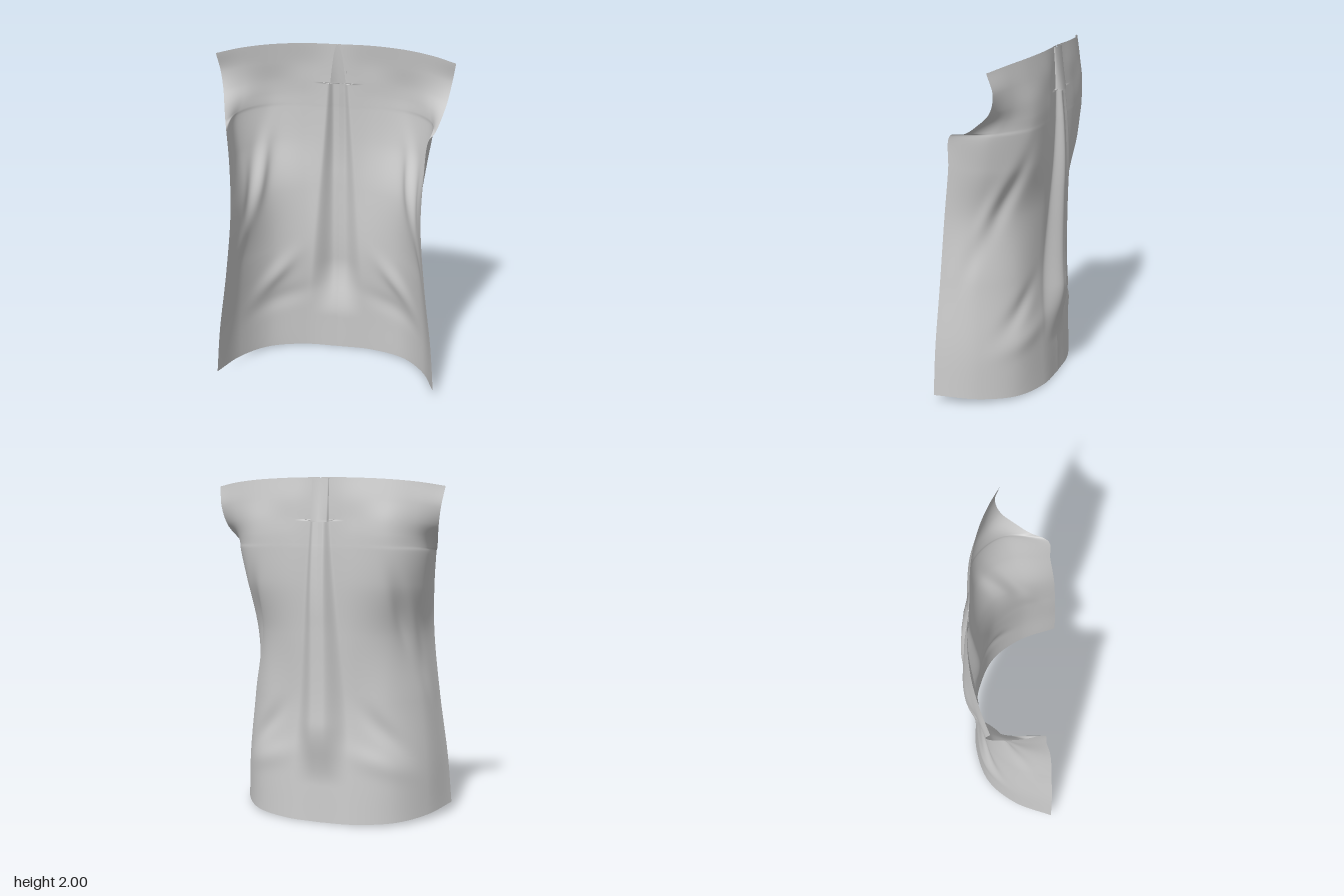
import * as THREE from 'three';

const { lerp, smoothstep } = THREE.MathUtils;
const material = new THREE.MeshStandardMaterial({ color: 0xcccccc, side: THREE.DoubleSide });

// Half cross-sections: height, centre z, then x,z of four points out to the side edge
const sections = [
  [2.0, -.212, .20, -.217, .40, -.19, .56, -.14, .69, -.083],
  [1.88, -.22, .20, -.235, .40, -.21, .55, -.16, .672, -.11],
  [1.77, -.225, .20, -.242, .40, -.228, .54, -.16, .652, -.08],
  [1.69, -.225, .21, -.247, .41, -.228, .545, -.13, .628, .0],
  [1.63, -.225, .21, -.248, .42, -.222, .56, -.09, .602, .085],
  [1.6, -.225, .21, -.248, .43, -.217, .572, -.06, .57, .188],
  [1.4, -.22, .21, -.24, .425, -.19, .545, -.02, .555, .208],
  [1.1, -.212, .20, -.207, .39, -.12, .50, .05, .55, .24],
  [.7, -.202, .20, -.187, .39, -.12, .53, .05, .585, .26],
  [.3, -.23, .21, -.213, .42, -.14, .565, .04, .635, .275],
  [0, -.24, .21, -.228, .43, -.14, .575, .04, .66, .28],
];
// The side edge runs from .05 to 1.95 while the centre runs from 0 to 2
const columns = [0, 1, 2, 3, 4].map((j) => new THREE.CatmullRomCurve3(
  sections.map((r) => new THREE.Vector3(
    j ? r[2 * j] : 0,
    lerp(r[0], .05 + .95 * r[0], (j / 4) ** 2),
    j ? r[2 * j + 1] : r[1]))));

// Depth of the centre pleat by height: fades in above the hem, shrinks to the top
const pleatDepth = (y) => .08 * smoothstep(y, .22, .6) - .015 * smoothstep(y, .6, 1.2)
  - .057 * smoothstep(y, 1.2, 2.1);

// Soft folds: position across (0..1), height, tilt, length, width, inward depth
const folds = [
  [.57, 1.24, .3, .2, .045, .022],
  [.7, 1.12, .3, .2, .04, -.014],
  [.46, .54, .7, .15, .05, .018],
  [.4, .36, 1.2, .16, .06, -.01],
  [.78, .9, .3, .17, .045, .01],
];
function foldDepth(s, y) {
  let sum = 0;
  for (const [fs, fy, tilt, length, width, depth] of folds) {
    const a = (s - fs) * .8, b = y - fy;
    const along = a * Math.sin(tilt) - b * Math.cos(tilt);
    const across = a * Math.cos(tilt) + b * Math.sin(tilt);
    sum += depth * Math.exp(-((along / length) ** 2) - (across / width) ** 2);
  }
  return sum;
}

const SLIT = 1.76;
const slitHalfWidth = (y) => .046 * Math.sqrt(Math.max(0, (2 - y) / (2 - SLIT)));

// Triangulated sheet from rows of points
function sheet(rows, flip) {
  const n = rows[0].length, index = [];
  for (let i = 0; i + 1 < rows.length; i++) {
    for (let j = 0; j + 1 < n; j++) {
      const a = i * n + j, b = a + 1, c = a + n, d = c + 1;
      index.push(...(flip ? [a, b, c, b, d, c] : [a, c, b, b, c, d]));
    }
  }
  const geometry = new THREE.BufferGeometry().setFromPoints(rows.flat());
  geometry.setIndex(index);
  geometry.computeVertexNormals();
  return geometry;
}

// One half of the garment back
function halfPanel(side) {
  const rows = [], down = 200, wide = 90;
  for (let i = 0; i <= down; i++) {
    const curve = new THREE.CatmullRomCurve3(columns.map((c) => c.getPoint(i / down)));
    const row = [];
    for (let j = 0; j <= wide; j++) {
      const s = (j / wide) ** 1.3;
      const p = curve.getPoint(s);
      const fold = foldDepth(s, p.y) * (1 - smoothstep(s, .85, 1));
      p.x -= Math.sin(s * Math.PI / 2) * fold;
      p.z += Math.cos(s * Math.PI / 2) * fold;
      if (p.y <= SLIT) {
        // pleat pushed out behind, widening downwards
        p.z -= pleatDepth(p.y) * (1 - smoothstep(p.x, .03, .06 + (SLIT - p.y) * .085));
      } else {
        // slit edges drawn apart
        p.x += slitHalfWidth(p.y) * Math.max(0, 1 - p.x / .15);
      }
      p.x *= side;
      row.push(p);
    }
    rows.push(row);
  }
  return sheet(rows, side < 0);
}

// Folded strip behind the slit
function pleatStrip() {
  const rows = [];
  for (let i = 0; i <= 16; i++) {
    const y = lerp(1.995, SLIT - .01, i / 16);
    const front = -.214 - (2 - y) * .055;
    const back = front - pleatDepth(y);
    rows.push([[-.052, front], [-.047, back], [0, back - .003], [.047, back], [.052, front]]
      .map(([x, z]) => new THREE.Vector3(x, y, z)));
  }
  return sheet(rows, false);
}

export function createModel() {
  const group = new THREE.Group();
  group.name = 'garmentBack';
  const add = (name, geometry) => {
    const mesh = new THREE.Mesh(geometry, material);
    mesh.name = name;
    group.add(mesh);
  };
  add('leftPanel', halfPanel(1));
  add('rightPanel', halfPanel(-1));
  add('pleatStrip', pleatStrip());
  return group;
}
